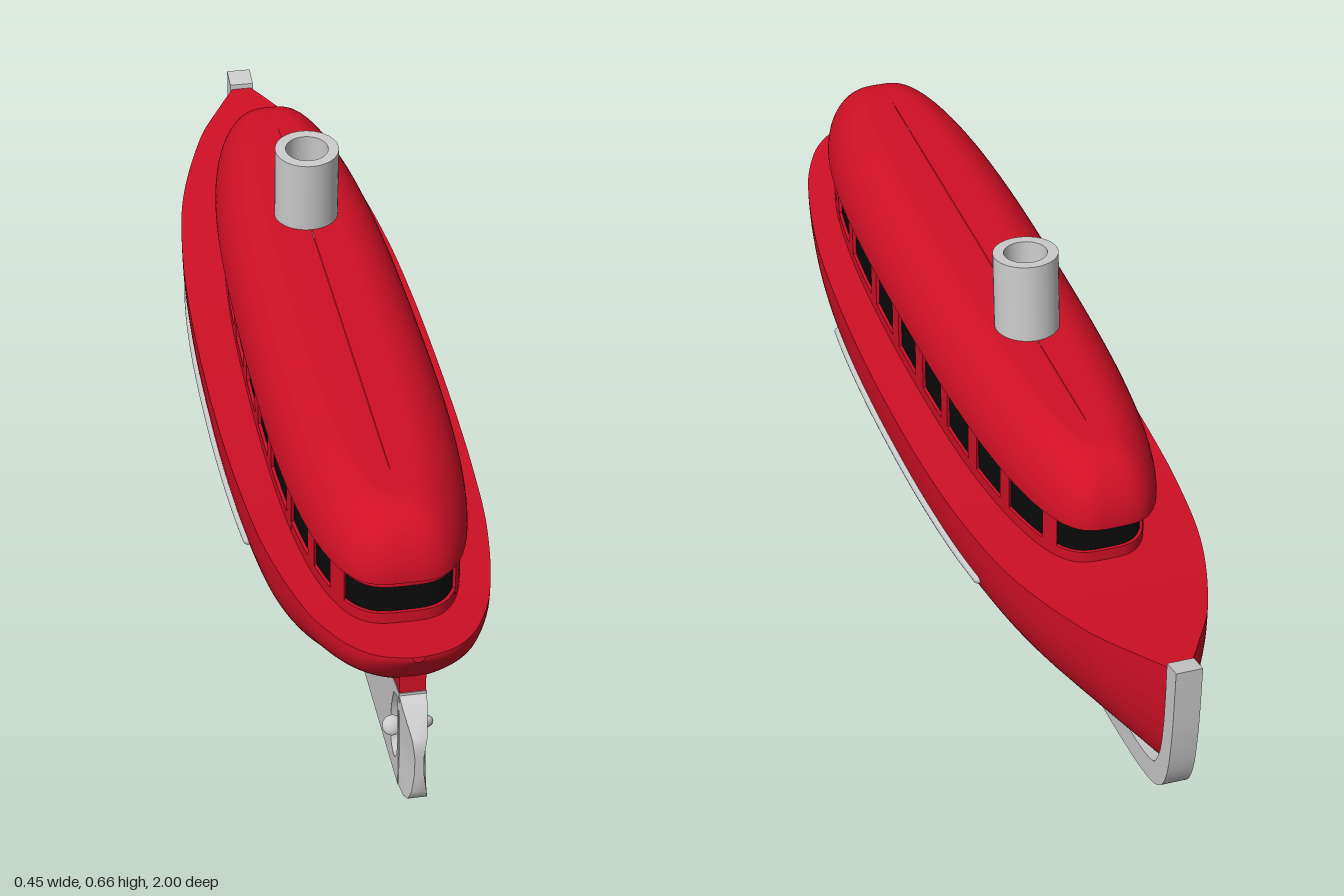
import * as THREE from 'three';
import { ParametricGeometry } from 'three/addons/geometries/ParametricGeometry.js';

const red = new THREE.MeshStandardMaterial({ color: 0xd01025, side: THREE.DoubleSide });
const grey = new THREE.MeshStandardMaterial({ color: 0xcccccc, side: THREE.DoubleSide });
const black = new THREE.MeshStandardMaterial({ color: 0x0a0a0a });

// smooth interpolation through [z, value] pairs
function table(pts) {
  const slope = (i) => {
    const a = pts[Math.max(i - 1, 0)], b = pts[Math.min(i + 1, pts.length - 1)];
    return (b[1] - a[1]) / (b[0] - a[0]);
  };
  return (z) => {
    let i = 0;
    while (i < pts.length - 2 && z > pts[i + 1][0]) i++;
    const [z0, v0] = pts[i], [z1, v1] = pts[i + 1];
    const h = z1 - z0, t = THREE.MathUtils.clamp((z - z0) / h, 0, 1);
    const t2 = t * t, t3 = t2 * t;
    return v0 * (2 * t3 - 3 * t2 + 1) + v1 * (3 * t2 - 2 * t3)
      + h * (slope(i) * (t3 - 2 * t2 + t) + slope(i + 1) * (t3 - t2));
  };
}

// hull lines along z (bow at -z): half beam, sheer, bottom and section fullness
const beam = table([[-0.96, 0.018], [-0.9, 0.055], [-0.8, 0.11], [-0.6, 0.175], [-0.4, 0.205], [-0.2, 0.218], [0, 0.222],
  [0.2, 0.221], [0.4, 0.214], [0.6, 0.198], [0.8, 0.16], [0.9, 0.12], [0.95, 0.082], [0.97, 0.05], [0.98, 0.01]]);
const sheer = table([[-0.96, 0.325], [-0.8, 0.307], [-0.6, 0.288], [-0.4, 0.275], [-0.2, 0.266], [0, 0.262],
  [0.2, 0.262], [0.4, 0.268], [0.6, 0.278], [0.8, 0.292], [0.98, 0.31]]);
const bottom = table([[-0.96, 0.22], [-0.94, 0.13], [-0.9, 0.08], [-0.85, 0.06], [-0.7, 0.045], [-0.4, 0.03], [0, 0.018],
  [0.2, 0.015], [0.4, 0.02], [0.5, 0.03], [0.6, 0.05], [0.7, 0.09], [0.8, 0.148], [0.88, 0.19], [0.93, 0.23], [0.98, 0.3]]);
const fullness = table([[-0.96, 1], [-0.8, 0.8], [-0.6, 0.62], [-0.3, 0.47], [0, 0.42], [0.3, 0.42], [0.6, 0.55],
  [0.8, 0.7], [0.93, 0.6], [0.98, 0.5]]);
const hullX = (z, t) => beam(z) * Math.pow(Math.max(0, 1 - Math.pow(1 - t, 2.5)), fullness(z));
const station = (v) => 0.01 + 0.97 * (0.25 * (2 * v - 1) - 0.75 * Math.cos(Math.PI * v));

// rounded cabin plan: superellipse slightly narrowed towards the bow
const N = 3.5;
const taper = (n) => 1 - 0.1 * (n - 0.25) ** 2;
const CABIN = { a: 0.146, b: 0.723, zc: 0.137 };
const ROOF = { a: 0.165, b: 0.755, zc: 0.12 };

// wall around a plan; profile(v, z) gives [inset, height]
function loft({ a, b, zc }, profile, stacks) {
  return new ParametricGeometry((u, v, p) => {
    const th = u * Math.PI * 2, c = Math.cos(th), s = Math.sin(th);
    const r = Math.pow(Math.abs(c) ** N + Math.abs(s) ** N, -1 / N);
    const n = -s * r;
    const [d, y] = profile(v, zc + b * n);
    p.set((a - d) * c * r * taper(n), y, zc + (b - d) * n);
  }, 128, stacks);
}

// pillar following the cabin plan between two z positions
function pillar(z0, z1, side) {
  const g = new THREE.BoxGeometry(1, 1, 1, 1, 1, 4), p = g.attributes.position;
  const { a, b, zc } = CABIN;
  for (let i = 0; i < p.count; i++) {
    const n = (THREE.MathUtils.lerp(z0, z1, p.getZ(i) + 0.5) - zc) / b;
    const d = 0.006 * side * p.getX(i) * 2;
    const x = (a + d) * Math.pow(1 - Math.abs(n) ** N, 1 / N) * taper(n);
    p.setXYZ(i, side * x, p.getY(i) > 0 ? 0.385 : 0.27, zc + (b + d) * n);
  }
  g.computeVertexNormals();
  return g;
}

export function createModel() {
  const model = new THREE.Group();
  const add = (name, geo, mat, parent = model) => {
    const m = new THREE.Mesh(geo, mat);
    m.name = name;
    parent.add(m);
    return m;
  };

  // hull skin and deck
  add('hull', new ParametricGeometry((u, v, p) => {
    const z = station(v), s = 2 * u - 1, t = s * s;
    p.set(Math.sign(s) * hullX(z, t), THREE.MathUtils.lerp(bottom(z), sheer(z), t), z);
  }, 48, 96), red);
  add('deck', new ParametricGeometry((u, v, p) => {
    const z = station(v);
    p.set((1 - 2 * u) * beam(z), sheer(z), z);
  }, 2, 96), red);

  // keel plate rising into the stem, with the propeller opening
  const keel = new THREE.Shape();
  const V = (q) => q.map(([x, y]) => new THREE.Vector2(x, y));
  keel.moveTo(0.935, 0);
  keel.lineTo(-0.55, 0);
  keel.splineThru(V([[-0.7, 0.004], [-0.85, 0.02], [-0.93, 0.047], [-0.97, 0.1], [-0.99, 0.2], [-1, 0.345]]));
  keel.lineTo(-0.957, 0.335);
  keel.splineThru(V([[-0.95, 0.2], [-0.93, 0.115], [-0.88, 0.072], [-0.7, 0.053], [-0.3, 0.035], [0, 0.026], [0.4, 0.03],
    [0.6, 0.06], [0.7, 0.1], [0.8, 0.155], [0.88, 0.19], [0.935, 0.2]]));
  const opening = new THREE.Path();
  opening.moveTo(0.925, 0.185);
  opening.splineThru(V([[0.925, 0.08], [0.91, 0.042], [0.885, 0.038], [0.868, 0.06], [0.87, 0.12], [0.89, 0.17]]));
  opening.closePath();
  keel.holes.push(opening);
  const keelGeo = new THREE.ExtrudeGeometry(keel, { depth: 0.048, bevelEnabled: false, curveSegments: 40 });
  keelGeo.rotateY(-Math.PI / 2).translate(0.024, 0, 0);
  add('keel', keelGeo, grey);

  // rudder narrowing to its trailing edge
  const edge = [[0, 0.965, 0.02], [0.012, 0.988, 0.017], [0.035, 1, 0.013], [0.075, 1, 0.008], [0.11, 1, 0.008],
    [0.15, 1, 0.013], [0.185, 0.955, 0.022]];
  const rudder = new THREE.BoxGeometry(1, 1, 1, 1, 6, 1), rp = rudder.attributes.position;
  for (let i = 0; i < rp.count; i++) {
    const [y, z, w] = edge[Math.round((rp.getY(i) + 0.5) * 6)];
    const back = rp.getZ(i) > 0;
    const top = y === 0.185 && !back ? 0.2 : y;
    rp.setXYZ(i, 2 * rp.getX(i) * (back ? w : 0.024), top, back ? z : 0.925);
  }
  rudder.computeVertexNormals();
  add('rudder', rudder, grey);

  // stern post flaring into the hull
  const post = new THREE.BoxGeometry(0.046, 0.09, 0.1, 1, 10, 1).translate(0, 0.23, 0.883);
  const pp = post.attributes.position;
  for (let i = 0; i < pp.count; i++) {
    pp.setX(i, pp.getX(i) * (1 + 1.1 * Math.max(0, (pp.getY(i) - 0.235) / 0.04) ** 2));
  }
  post.computeVertexNormals();
  add('sternPost', post, red);

  // propeller: hub and four rounded blades
  const propeller = new THREE.Group();
  propeller.name = 'propeller';
  propeller.position.set(0, 0.1, 0.895);
  model.add(propeller);
  add('propellerHub', new THREE.SphereGeometry(0.016, 20, 14).scale(1, 1, 1.6), grey, propeller);
  for (let i = 0; i < 4; i++) {
    const blade = add('propellerBlade', new THREE.SphereGeometry(0.018, 16, 12).scale(1, 1, 0.6).rotateX(0.5)
      .translate(0.027, 0, 0), grey, propeller);
    blade.rotation.z = i * Math.PI / 2;
  }

  // rubbing strakes along both sides
  for (const side of [1, -1]) {
    const pts = [];
    for (let i = 0; i <= 12; i++) {
      const z = THREE.MathUtils.lerp(0.425, -0.435, i / 12);
      const t = (0.175 - bottom(z)) / (sheer(z) - bottom(z));
      pts.push(new THREE.Vector3(side * (hullX(z, t) + 0.001), 0.175, z));
    }
    add('rubbingStrake', new THREE.TubeGeometry(new THREE.CatmullRomCurve3(pts), 48, 0.0085, 12), grey);
    for (const end of [pts[0], pts[12]]) {
      add('strakeEnd', new THREE.SphereGeometry(0.0085, 12, 10).translate(end.x, end.y, end.z), grey);
    }
  }

  // cabin: dark glazing, sill, header and pillars
  add('windows', loft(CABIN, (v) => [0, 0.25 + 0.135 * v], 1), black);
  const sill = (z) => sheer(z) + 0.022;
  add('cabinSill', loft(CABIN, (v, z) => [-0.006, THREE.MathUtils.lerp(0.25, sill(z), v)], 1), red);
  add('sillLedge', loft(CABIN, (v, z) => [-0.006 + 0.008 * v, sill(z)], 1), red);
  add('cabinHeader', loft(CABIN, (v) => [-0.006, 0.374 + 0.012 * v], 1), red);
  const gaps = [[0.76, 0.805], [0.655, 0.69], [0.51, 0.545], [0.33, 0.365], [0.18, 0.22], [0.03, 0.075],
    [-0.11, -0.075], [-0.26, -0.22], [-0.4, -0.365], [-0.545, -0.51]];
  for (const [z0, z1] of gaps) {
    for (const side of [1, -1]) add('windowPillar', pillar(z0, z1, side), red);
  }

  // domed roof with overhanging lip
  add('roof', loft(ROOF, (v) => {
    const f = Math.min(v / 0.8, 1) * Math.PI / 2;
    const flat = Math.max(0, (v - 0.8) / 0.2);
    return [0.105 * (1 - Math.cos(f)) + 0.0595 * flat, 0.387 + 0.118 * Math.sin(f)];
  }, 25), red);
  add('roofLip', loft(ROOF, (v) => [0.03 * (1 - v), 0.375 + 0.012 * v], 1), red);

  // hollow raked funnel
  const ring = [[0.04, 0], [0.06, 0], [0.06, 0], [0.06, 0.165], [0.06, 0.165], [0.04, 0.165], [0.04, 0.165], [0.04, 0]];
  const funnel = add('funnel', new THREE.LatheGeometry(V(ring), 48), grey);
  funnel.position.set(0, 0.488, -0.143);
  funnel.rotation.x = 0.07;

  return model;
}
